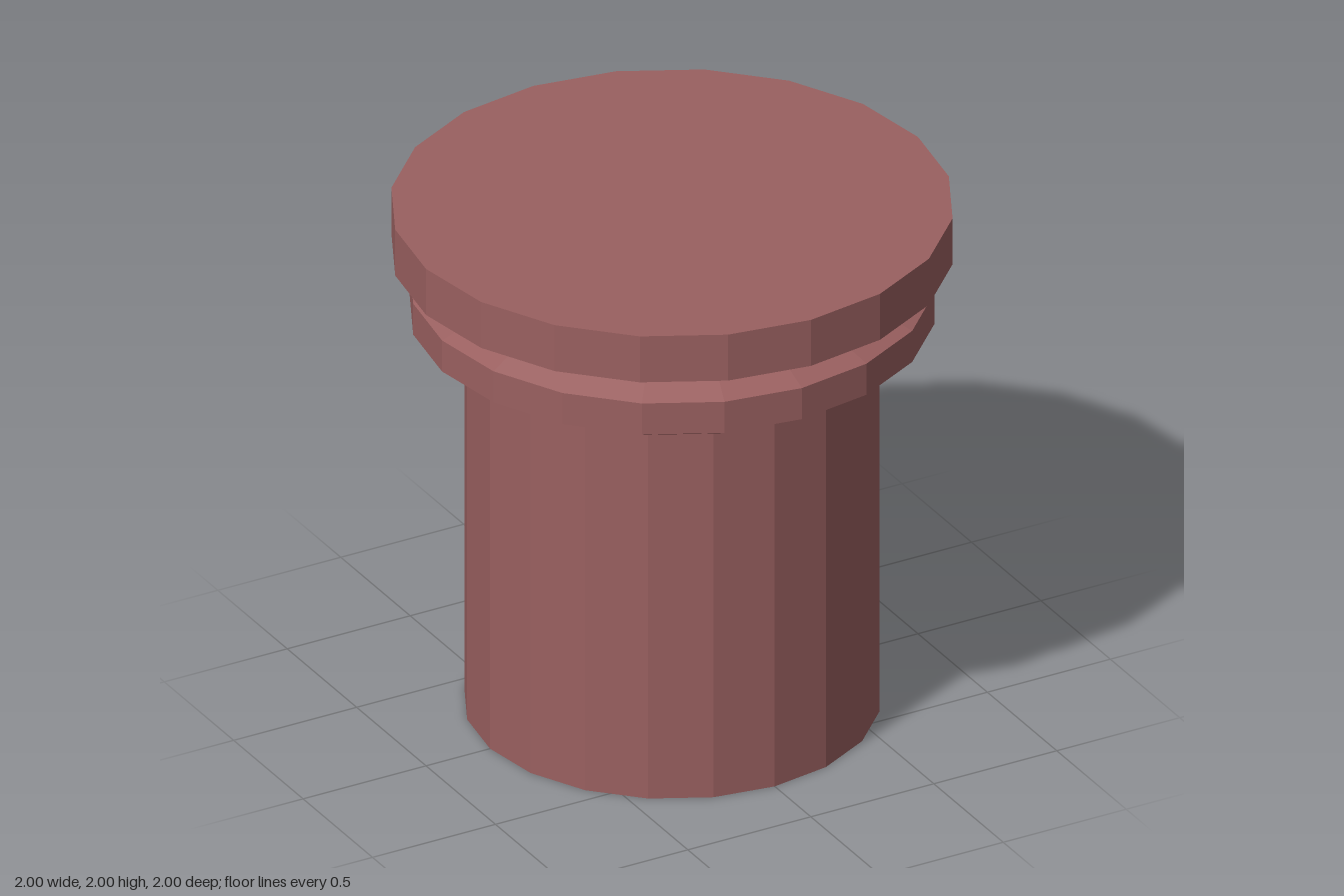
import * as THREE from 'three';

const SIDES = 20;
const SHAFT_RADIUS = 0.74;
const SHAFT_TOP = 1.515;

export function createModel() {
  const group = new THREE.Group();
  group.name = 'flangedPlug';
  const material = new THREE.MeshStandardMaterial({ color: 0x9a6060, flatShading: true });

  // Turns a profile of [radius, height] points, listed bottom to top
  const addTurned = (name, profile) => {
    const points = profile.map(([r, y]) => new THREE.Vector2(r, y));
    const mesh = new THREE.Mesh(new THREE.LatheGeometry(points, SIDES), material);
    mesh.name = name;
    group.add(mesh);
  };

  // Straight shaft with a closed bottom
  addTurned('shaft', [[0, 0], [SHAFT_RADIUS, 0], [SHAFT_RADIUS, SHAFT_TOP]]);

  // Bevelled collar, narrowing into the groove under the cap
  addTurned('collar', [
    [SHAFT_RADIUS, SHAFT_TOP], [0.835, SHAFT_TOP], [0.935, 1.57], [0.935, 1.695], [0.805, 1.745],
  ]);

  // Wide flat cap flaring out of the groove
  addTurned('cap', [[0.805, 1.745], [1, 1.815], [1, 2], [0, 2]]);

  return group;
}
